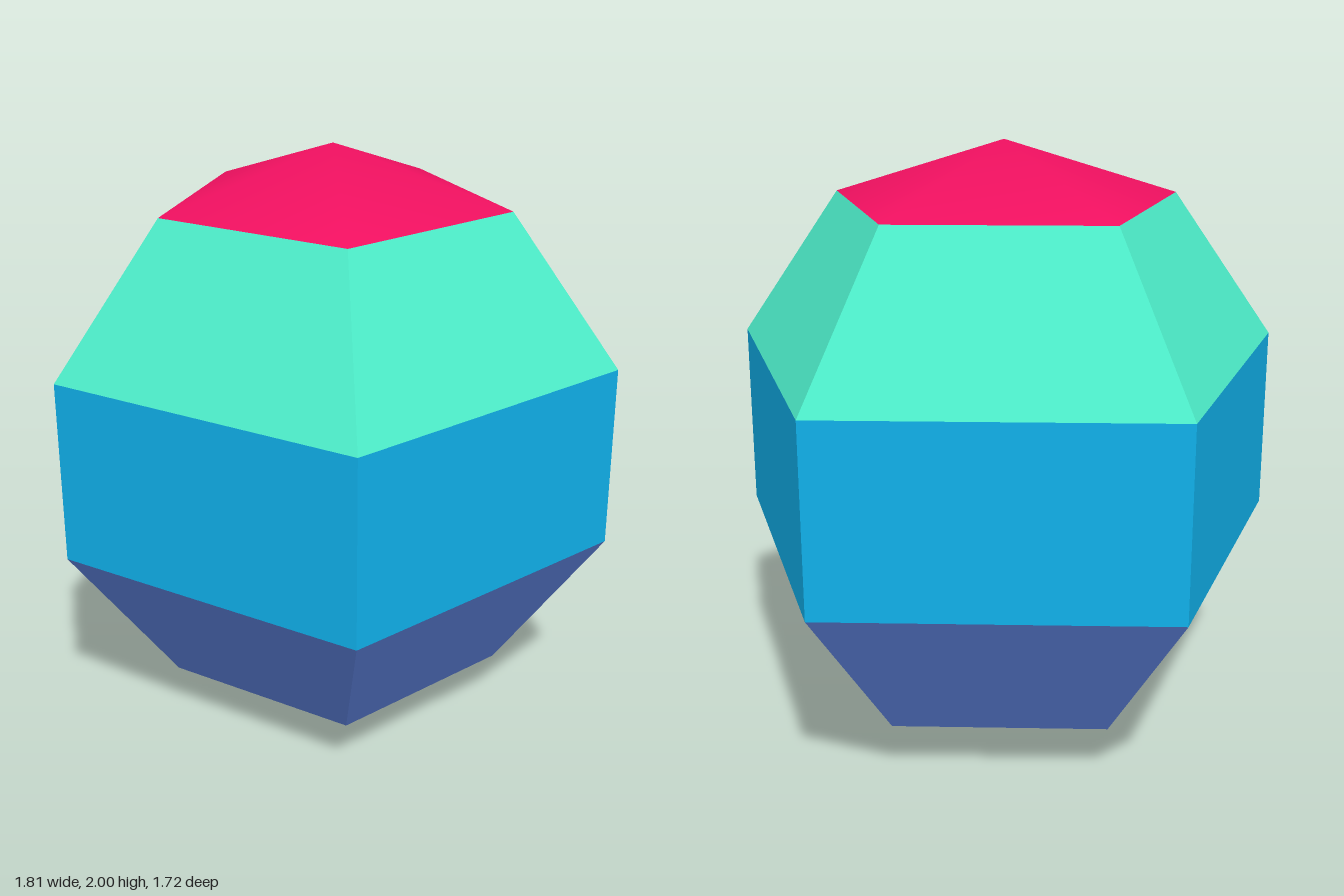
import * as THREE from 'three';
import { mergeVertices } from 'three/addons/utils/BufferGeometryUtils.js';

const SIDES = 5;
const CENTRE_Z = -0.09; // a five-sided ring is not symmetric front to back

// Radius and height of ring i on a unit sphere cut into five layers
const ring = (i) => ({
  r: Math.sin((i * Math.PI) / 5),
  y: 1 + Math.cos((i * Math.PI) / 5),
});

// Flat-sided band between ring i and the ring below it
function band(name, i, color) {
  const top = ring(i), low = ring(i + 1);
  const geometry = new THREE.CylinderGeometry(top.r, low.r, top.y - low.y, SIDES, 1, true);
  const mesh = new THREE.Mesh(geometry, new THREE.MeshStandardMaterial({ color, flatShading: true }));
  mesh.name = name;
  mesh.position.y = (top.y + low.y) / 2;
  return mesh;
}

// Shallow smooth-shaded pyramid closing the top or the bottom
function cap(name, color, isBottom) {
  const rim = ring(1), height = 2 - rim.y;
  let geometry = new THREE.ConeGeometry(rim.r, height, SIDES, 1, true);
  geometry.deleteAttribute('normal');
  geometry.deleteAttribute('uv');
  geometry = mergeVertices(geometry, 1e-4);
  geometry.computeVertexNormals();
  const mesh = new THREE.Mesh(geometry, new THREE.MeshStandardMaterial({ color }));
  mesh.name = name;
  mesh.position.y = isBottom ? height / 2 : 2 - height / 2;
  if (isBottom) mesh.rotation.z = Math.PI;
  return mesh;
}

export function createModel() {
  const group = new THREE.Group();
  group.name = 'facetedGem';
  group.add(
    cap('topCap', 0xf01060, false),
    band('upperBand', 1, 0x4dedc9),
    band('middleBand', 2, 0x10b0ea),
    band('lowerBand', 3, 0x5a7dd6),
    cap('bottomCap', 0x808008, true),
  );
  group.children.forEach((part) => { part.position.z = CENTRE_Z; });
  // Snap the widths so the seat of the model is centred front to back
  group.position.z = 0;
  return group;
}
